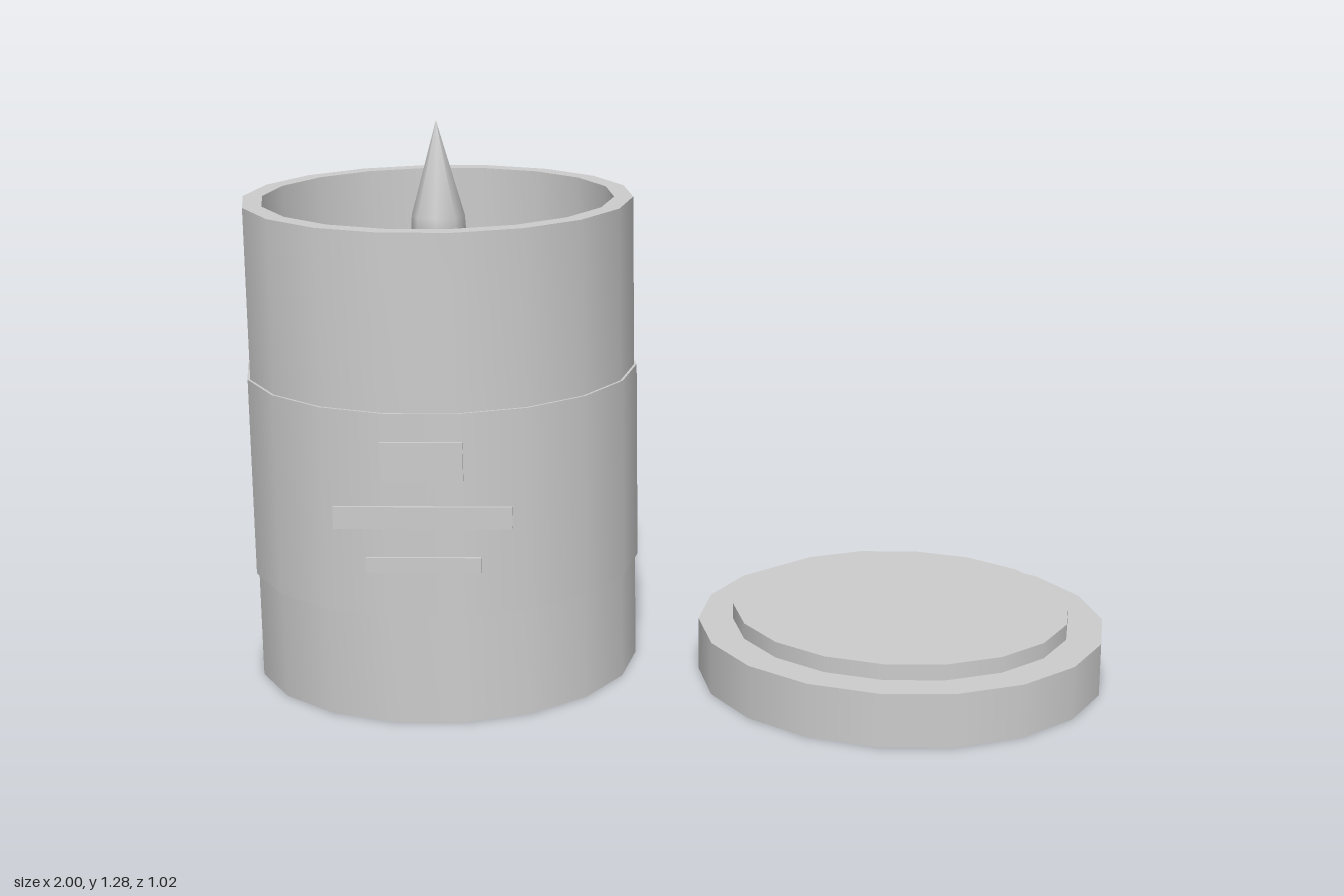
import * as THREE from 'three';
import { toCreasedNormals } from 'three/addons/utils/BufferGeometryUtils.js';

const SIDES = 18;
const material = new THREE.MeshStandardMaterial({ color: 0xcccccc });

function add(parent, name, geometry, x = 0, y = 0, z = 0) {
  const mesh = new THREE.Mesh(geometry, material);
  mesh.name = name;
  mesh.position.set(x, y, z);
  parent.add(mesh);
  return mesh;
}

// Upright disc or drum from y0 to y1, with corners on the x axis
function drum(parent, name, radius, y0, y1, sides = SIDES) {
  const geometry = new THREE.CylinderGeometry(radius, radius, y1 - y0, sides, 1, false, Math.PI / 2);
  return add(parent, name, geometry, 0, (y0 + y1) / 2, 0);
}

// Turned solid from [radius, y] pairs, bottom to top along the outside
function turned(parent, name, profile, sides, crease) {
  const points = profile.map(([r, y]) => new THREE.Vector2(r, y));
  const geometry = new THREE.LatheGeometry(points, sides, Math.PI / 2);
  return add(parent, name, toCreasedNormals(geometry, crease));
}

export function createModel() {
  const model = new THREE.Group();
  model.name = 'jarCandle';

  // Candle in its jar
  const candle = new THREE.Group();
  candle.name = 'candle';
  candle.position.set(-0.548, 0, -0.063);
  model.add(candle);

  turned(candle, 'jar', [
    [0, 0], [0.448, 0], [0.448, 1.11], [0.404, 1.11], [0.404, 0.05], [0, 0.05],
  ], SIDES, 0.6);
  drum(candle, 'wax', 0.4, 0.05, 0.856);
  drum(candle, 'wick', 0.018, 0.85, 1.0, 8);
  turned(candle, 'flame', [
    [0, 0.965], [0.034, 0.976], [0.055, 1.0], [0.063, 1.03], [0.061, 1.067], [0, 1.285],
  ], 8, 0.9);

  // Label band wrapped round the jar
  drum(candle, 'labelBand', 0.454, 0.25, 0.715);

  // Raised plates in front of the label: [width, y0, y1]
  [[0.18, 0.568, 0.655], [0.39, 0.46, 0.51], [0.252, 0.36, 0.394]].forEach(([w, y0, y1], i) => {
    add(candle, `labelPlate${i + 1}`, new THREE.BoxGeometry(w, y1 - y0, 0.008), 0, (y0 + y1) / 2, 0.46);
  });

  // Lid lying beside the jar
  const lid = new THREE.Group();
  lid.name = 'lid';
  lid.position.set(0.526, 0, 0.043);
  model.add(lid);
  drum(lid, 'lidBase', 0.474, 0, 0.125);
  drum(lid, 'lidStep', 0.393, 0.12, 0.162);

  return model;
}
